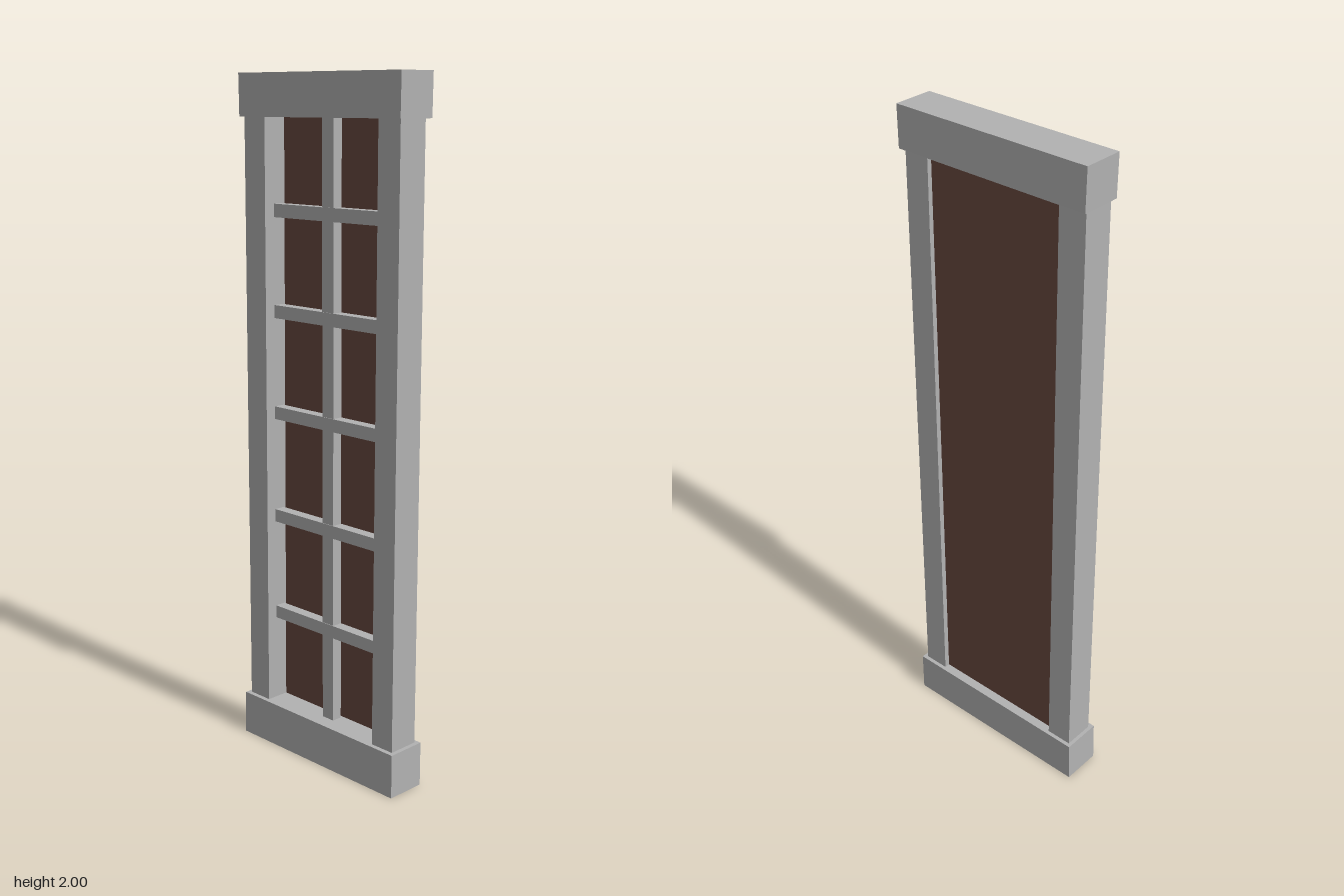
import * as THREE from 'three';

const stone = new THREE.MeshStandardMaterial({ color: 0xb2b2b2, flatShading: true });
stone.name = 'pale grey';
const pane = new THREE.MeshStandardMaterial({ color: 0x68483f, flatShading: true });
pane.name = 'dark brown';

// Slightly skewed block: rects are [x0, x1, z0, z1] at the bottom and at the top
function block(name, material, y0, y1, bottom, top = bottom) {
  const geometry = new THREE.BoxGeometry(1, 1, 1);
  const p = geometry.attributes.position;
  for (let i = 0; i < p.count; i++) {
    const up = p.getY(i) > 0;
    const r = up ? top : bottom;
    p.setXYZ(i, p.getX(i) > 0 ? r[1] : r[0], up ? y1 : y0, p.getZ(i) > 0 ? r[3] : r[2]);
  }
  geometry.computeVertexNormals();
  const mesh = new THREE.Mesh(geometry, material);
  mesh.name = name;
  return mesh;
}

export function createModel() {
  const group = new THREE.Group();
  group.name = 'window';

  // Sill and lintel
  group.add(
    block('sill', stone, 0, 0.13, [-0.06, 0.061, -0.317, 0.306], [-0.058, 0.063, -0.315, 0.305]),
    block('lintel', stone, 1.88, 2, [-0.063, 0.058, -0.302, 0.316], [-0.063, 0.058, -0.304, 0.318])
  );

  // Side posts, leaning slightly
  group.add(
    block('frontPost', stone, 0.12, 1.89, [-0.044, 0.051, 0.214, 0.292], [-0.049, 0.046, 0.226, 0.304]),
    block('backPost', stone, 0.12, 1.89, [-0.044, 0.051, -0.304, -0.224], [-0.049, 0.046, -0.296, -0.212])
  );

  // Recessed pane
  group.add(block('pane', pane, 0.12, 1.89, [0.028, 0.034, -0.23, 0.22], [0.026, 0.032, -0.22, 0.23]));

  // Glazing bars on the -x side
  group.add(block('verticalBar', stone, 0.12, 1.89, [-0.012, 0.02, -0.02, 0.024]));
  [0.41, 0.715, 1.03, 1.33, 1.62].forEach((y, i) => {
    group.add(block('crossBar' + (i + 1), stone, y - 0.019, y + 0.019, [-0.014, 0.02, -0.22, 0.222]));
  });

  return group;
}
